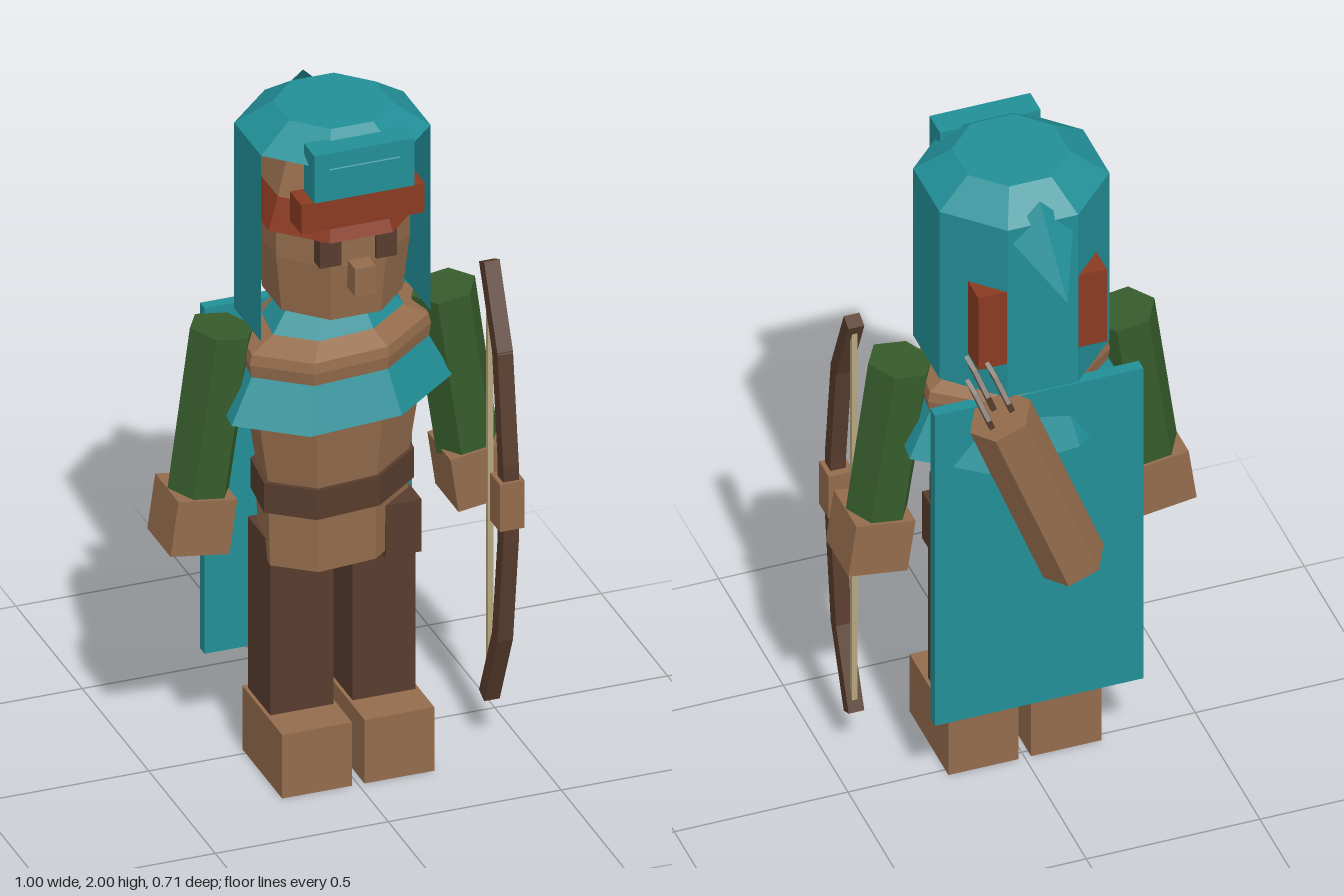
import * as THREE from 'three';

const mat = (name, color, side = THREE.FrontSide) => {
  const m = new THREE.MeshStandardMaterial({ color, flatShading: true, side });
  m.name = name;
  return m;
};

export function createModel() {
  const root = new THREE.Group();
  root.name = 'hoodedArcher';
  const teal = mat('teal cloth', 0x228f97, THREE.DoubleSide);
  const tan = mat('tan skin and leather', 0x946c4c);
  const dark = mat('dark brown', 0x583c2d);
  const rust = mat('rust hair', 0x8a3a21);
  const green = mat('green sleeve', 0x365c2c);
  const grey = mat('grey feather', 0x9a958e);
  const cream = mat('bow string', 0xb5a67f);
  const Z = 0.08; // body axis

  const add = (name, geo, material, parent = root) => {
    const m = new THREE.Mesh(geo, material);
    m.name = name;
    parent.add(m);
    return m;
  };
  // box given by its lower and upper limits
  const box = (name, material, [x0, x1], [y0, y1], [z0, z1], parent) => {
    const m = add(name, new THREE.BoxGeometry(x1 - x0, y1 - y0, z1 - z0), material, parent);
    m.position.set((x0 + x1) / 2, (y0 + y1) / 2, (z0 + z1) / 2);
    return m;
  };
  const lathe = (points, start = 0) =>
    new THREE.LatheGeometry(points.map(([r, y]) => new THREE.Vector2(r, y)), 8, start);
  // skewed octagonal cross-section shared by torso, belt and collar
  const skew = new THREE.Matrix4().makeBasis(
    new THREE.Vector3(0.105, 0, 0.249), new THREE.Vector3(0, 1, 0), new THREE.Vector3(-0.345, 0, 0.14)
  ).setPosition(0, 0, Z);
  const body = (name, material, points) => add(name, lathe(points).applyMatrix4(skew), material);
  // regular octagon with flats facing front and sides
  const octagon = (name, material, points) =>
    add(name, lathe(points, Math.PI / 8).translate(0, 0, Z), material);

  // torso and clothing
  body('torso', tan, [[0, 0.66], [0.62, 0.66], [0.64, 0.92], [0.74, 1.14], [0.82, 1.3], [0.8, 1.33], [0.55, 1.37], [0, 1.37]]);
  body('belt', dark, [[0, 0.83], [0.68, 0.83], [0.68, 0.92], [0, 0.92]]);
  body('shoulderCape', teal, [[1, 1.14], [0.74, 1.3]]);
  body('neckScarf', teal, [[0.62, 1.35], [0.42, 1.44]]);
  box('hipPouch', dark, [0.105, 0.21], [0.64, 0.8], [0.0, 0.205]);
  box('cape', teal, [-0.3, 0.3], [0.27, 1.33], [-0.135, -0.1]);

  // legs, boots, arms and hands
  for (const s of [-1, 1]) {
    const side = s > 0 ? 'left' : 'right';
    const span = (a, b) => (s > 0 ? [a, b] : [-b, -a]);
    box(side + 'Leg', dark, span(0.028, 0.21), [0.19, 0.72], [-0.01, 0.16]);
    box(side + 'Boot', tan, span(0.018, 0.22), [0, 0.195], [-0.025, 0.275]);
    const arm = new THREE.Group();
    arm.name = side + 'Arm';
    arm.position.set(s * 0.32, 1.37, Z);
    arm.rotation.z = s * 0.14;
    root.add(arm);
    const sleeve = new THREE.CylinderGeometry(0.093, 0.09, 0.5, 6).rotateY(Math.PI / 6);
    add(side + 'Sleeve', sleeve, green, arm).position.y = -0.25;
    const hand = add(side + 'Hand', new THREE.BoxGeometry(0.172, 0.165, 0.175), tan, arm);
    hand.position.set(s * 0.006, -0.565, 0);
  }

  // head and face
  octagon('head', tan, [[0, 1.43], [0.19, 1.43], [0.21, 1.6], [0.21, 1.76], [0.165, 1.9], [0, 1.9]]);
  octagon('fringe', rust, [[0.2, 1.69], [0.237, 1.69], [0.2, 1.79], [0, 1.8]]);
  box('headband', rust, [-0.178, 0.178], [1.74, 1.83], [0.225, 0.31]);
  box('nose', tan, [-0.03, 0.03], [1.53, 1.615], [0.24, 0.33]);
  box('rightEye', dark, [-0.115, -0.053], [1.61, 1.69], [0.24, 0.286]);
  box('leftEye', dark, [0.048, 0.108], [1.61, 1.69], [0.24, 0.286]);

  // hood, open at the front
  const R = 0.265;
  add('hoodWall', new THREE.CylinderGeometry(R, R, 0.57, 5, 1, true, Math.PI * 0.375, Math.PI * 1.25)
    .translate(0, 1.645, Z), teal);
  octagon('hoodCrown', teal, [[0, 1.93], [R, 1.93], [0.16, 2], [0, 2]]);
  box('hoodFlap', teal, [-0.145, 0.145], [1.835, 1.98], [0.242, 0.322]);
  for (const s of [-1, 1])
    box(s > 0 ? 'leftHairTuft' : 'rightHairTuft', rust,
      s > 0 ? [0.1, 0.185] : [-0.185, -0.1], [1.475, 1.72], [-0.163, -0.08]);

  // pointed tail of the hood
  const tip = [0, 1.795, -0.355];
  const rim = [[0, 1.985, -0.14], [0.095, 1.89, -0.145], [0, 1.8, -0.15], [-0.095, 1.89, -0.145]];
  const tail = new THREE.BufferGeometry();
  tail.setAttribute('position', new THREE.Float32BufferAttribute(
    rim.flatMap((p, i) => [...p, ...rim[(i + 1) % 4], ...tip]), 3));
  tail.computeVertexNormals();
  add('hoodTail', tail, teal);

  // quiver slung across the back, with arrows
  const quiver = new THREE.Group();
  quiver.name = 'quiver';
  quiver.position.set(0.035, 1.065, -0.212);
  quiver.rotation.z = -0.365;
  root.add(quiver);
  add('quiverCase', new THREE.CylinderGeometry(0.093, 0.093, 0.59, 6).rotateY(Math.PI / 6), tan, quiver);
  for (const [x, z, y] of [[-0.035, 0, 0.4], [0.035, -0.022, 0.4], [0.005, 0.04, 0.42]]) {
    box('arrowShaft', dark, [x - 0.008, x + 0.008], [0.2, y + 0.05], [z - 0.008, z + 0.008], quiver);
    box('arrowFeather', grey, [x - 0.006, x + 0.006], [y - 0.05, y + 0.06], [z - 0.035, z + 0.035], quiver);
  }

  // bow: straight limb pieces along a bent path, grip and string
  const bow = new THREE.Group();
  bow.name = 'bow';
  bow.position.x = 0.422;
  root.add(bow);
  const path = [[0.165, 1.465], [0.262, 1.24], [0.305, 0.92], [0.305, 0.69], [0.262, 0.37], [0.165, 0.145]];
  for (let i = 0; i < path.length - 1; i++) {
    const [z0, y0] = path[i], [z1, y1] = path[i + 1];
    const limb = add('bowLimb', new THREE.BoxGeometry(0.045, Math.hypot(z1 - z0, y1 - y0) + 0.012, 0.042), dark, bow);
    limb.position.set(0, (y0 + y1) / 2, (z0 + z1) / 2);
    limb.rotation.x = Math.atan2(z0 - z1, y0 - y1);
  }
  box('bowGrip', tan, [-0.036, 0.036], [0.73, 0.875], [0.262, 0.335], bow);
  box('bowString', cream, [-0.008, 0.008], [0.15, 1.46], [0.157, 0.173], bow);

  return root;
}
